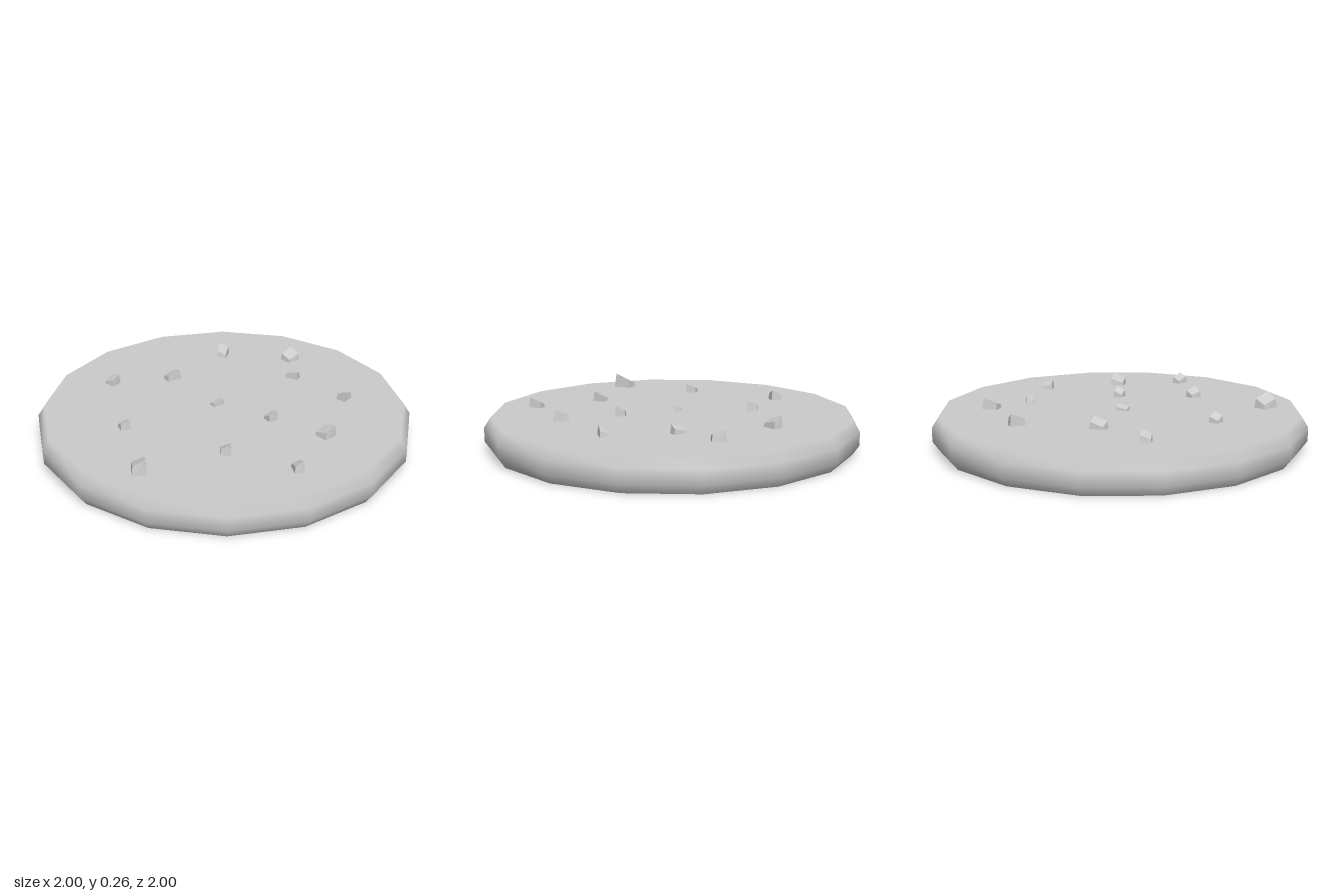
import * as THREE from 'three';

const TOP = 0.18;
const material = new THREE.MeshStandardMaterial({ color: 0xcccccc, side: THREE.DoubleSide });
const shardMaterial = new THREE.MeshStandardMaterial({ color: 0xcccccc, side: THREE.DoubleSide, flatShading: true });

// Sixteen-sided shell with bevelled rim, open underneath
function makeDisc() {
  const profile = [[0.965, 0], [1, 0.05], [1, 0.125], [0.965, TOP], [0, TOP]]
    .map(([r, y]) => new THREE.Vector2(r, y));
  const geometry = new THREE.LatheGeometry(profile, 16);
  const { position, normal } = geometry.attributes;
  // Keep the top plate flat while the rim stays smooth
  for (let i = 0; i < position.count; i++) {
    if (position.getY(i) > TOP - 0.001) normal.setXYZ(i, 0, 1, 0);
  }
  const disc = new THREE.Mesh(geometry, material);
  disc.name = 'disc';
  return disc;
}

// Tapered four-sided shard, slanted to one high corner and open underneath
function makeShard([x, z, w, d, yaw, h]) {
  const corners = [[1, 1, 1], [1, -1, 0.62], [-1, -1, 0.3], [-1, 1, 0.62]];
  const base = corners.map(([sx, sz]) => [sx * w / 2, -0.028, sz * d / 2]);
  const top = corners.map(([sx, sz, k]) => [sx * w * 0.39, h * k, sz * d * 0.39]);
  const points = [];
  for (let i = 0; i < 4; i++) {
    const j = (i + 1) % 4;
    points.push(base[i], base[j], top[j], base[i], top[j], top[i]);
  }
  points.push(top[0], top[1], top[2], top[0], top[2], top[3]);
  const geometry = new THREE.BufferGeometry();
  geometry.setAttribute('position', new THREE.Float32BufferAttribute(points.flat(), 3));
  geometry.computeVertexNormals();
  const shard = new THREE.Mesh(geometry, shardMaterial);
  shard.position.set(x, TOP, z);
  shard.rotation.y = THREE.MathUtils.degToRad(yaw);
  shard.name = 'shard';
  return shard;
}

export function createModel() {
  const model = new THREE.Group();
  model.name = 'studdedDisc';
  model.add(makeDisc());

  // x, z, width, depth, turn in degrees, height
  const shards = [
    [0, -0.63, 0.06, 0.09, 165, 0.062],
    [0.39, -0.565, 0.08, 0.09, 130, 0.058],
    [-0.62, -0.27, 0.065, 0.07, 50, 0.055],
    [-0.29, -0.325, 0.09, 0.065, 30, 0.056],
    [0.39, -0.33, 0.08, 0.05, -27, 0.045],
    [-0.04, -0.01, 0.075, 0.05, 35, 0.032],
    [0.65, -0.07, 0.06, 0.075, -40, 0.05],
    [0.24, 0.16, 0.058, 0.06, 30, 0.055],
    [0.51, 0.335, 0.085, 0.085, 42, 0.06],
    [-0.52, 0.24, 0.06, 0.065, 20, 0.05],
    [0, 0.5, 0.06, 0.075, 0, 0.055],
    [-0.42, 0.665, 0.08, 0.11, 6, 0.078],
    [0.345, 0.665, 0.055, 0.08, 12, 0.055],
  ];
  const cluster = new THREE.Group();
  cluster.name = 'shards';
  shards.forEach((s) => cluster.add(makeShard(s)));
  model.add(cluster);
  return model;
}
